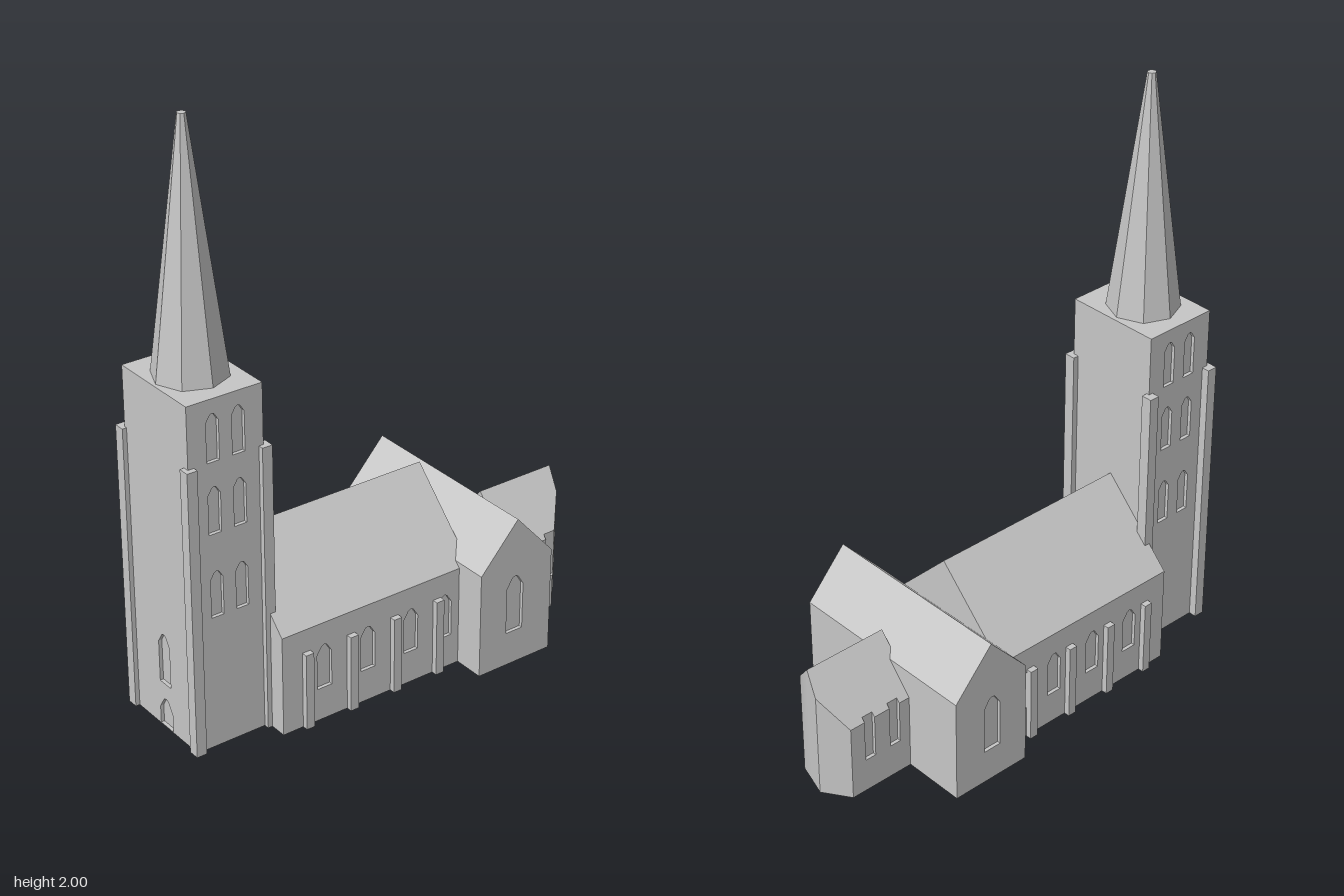
import * as THREE from 'three';

const stone = new THREE.MeshStandardMaterial({ color: 0xc6c6c6 });
stone.name = 'stone';

const D = 0.012; // depth of the window recesses

export function createModel() {
  const church = new THREE.Group();
  church.name = 'church';

  const add = (name, geometry, x = 0, y = 0, z = 0, turn = 0) => {
    const mesh = new THREE.Mesh(geometry, stone);
    mesh.name = name;
    mesh.position.set(x, y, z);
    mesh.rotation.y = turn;
    church.add(mesh);
    return mesh;
  };
  const box = (name, x0, x1, y0, y1, z0, z1) =>
    add(name, new THREE.BoxGeometry(x1 - x0, y1 - y0, z1 - z0), (x0 + x1) / 2, (y0 + y1) / 2, (z0 + z1) / 2);
  const shapeOf = (pts) => new THREE.Shape(pts.map(([x, y]) => new THREE.Vector2(x, y)));
  const extrude = (shape, depth) => new THREE.ExtrudeGeometry(shape, { depth, bevelEnabled: false });

  // Window opening with a narrow pointed head
  const opening = (x, y0, y1, w) => {
    const h = w / 2, s = y1 - w * 0.6;
    return shapeOf([[x - h, y0], [x - h, s], [x - h * 0.35, y1 - w * 0.08], [x, y1],
      [x + h * 0.35, y1 - w * 0.08], [x + h, s], [x + h, y0]]);
  };
  const wall = (outline, openings) => {
    const shape = shapeOf(outline);
    shape.holes.push(...openings.map((o) => opening(...o)));
    return extrude(shape, D);
  };
  const rect = (x0, x1, y1) => [[x0, 0], [x1, 0], [x1, y1], [x0, y1]];

  // Tower
  box('towerCore', -0.765 + D, -0.5, 0, 1.19, -0.18 + D, 0.162 - D);
  const towerWindows = [];
  for (const y of [0.46, 0.745, 0.985])
    for (const x of [-0.677, -0.587]) towerWindows.push([x, y, y + 0.158, 0.044]);
  const towerWall = wall(rect(-0.765, -0.5, 1.19), towerWindows);
  add('towerFrontWall', towerWall, 0, 0, 0.162 - D);
  add('towerBackWall', towerWall, 0, 0, -0.18);
  add('towerEntranceWall', wall(rect(-0.18 + D, 0.162 - D, 1.19),
    [[-0.01, 0.002, 0.105, 0.07], [-0.01, 0.16, 0.34, 0.06]]), -0.765 + D, 0, 0, -Math.PI / 2);
  for (const x of [-0.762, -0.498])
    for (const z of [-0.188, 0.161])
      box('towerButtress', x - 0.018, x + 0.018, 0, 0.985, z - 0.019, z + 0.019);

  // Octagonal spire
  const spire = new THREE.CylinderGeometry(0.014, 0.12, 0.81, 8).toNonIndexed();
  spire.computeVertexNormals();
  add('spire', spire, -0.635, 1.595, -0.011);

  // Nave: gabled core with the side walls laid on
  const naveZ = -0.02, naveW = 0.26;
  const inner = naveW - D;
  add('naveCore', extrude(shapeOf([[-inner, 0], [inner, 0], [inner, 0.35], [naveW, 0.35],
    [0, 0.61], [-naveW, 0.35], [-inner, 0.35]]), 0.73), -0.5, 0, naveZ, Math.PI / 2);
  const naveWall = wall(rect(-0.5, 0.23, 0.35),
    [-0.342, -0.174, -0.004, 0.132].map((x) => [x, 0.115, 0.272, 0.055]));
  add('naveFrontWall', naveWall, 0, 0, naveZ + inner);
  add('naveBackWall', naveWall, 0, 0, naveZ - naveW);
  for (const x of [-0.41, -0.24, -0.07, 0.1]) {
    box('naveButtress', x - 0.015, x + 0.015, 0, 0.27, 0.23, 0.26);
    box('naveButtress', x - 0.015, x + 0.015, 0, 0.27, -0.3, -0.27);
  }

  // Transept: gable ends carry one window each
  const gable = [[0.19, 0], [0.48, 0], [0.48, 0.37], [0.335, 0.53], [0.19, 0.37]];
  add('transeptCore', extrude(shapeOf(gable), 0.705 - 2 * D), 0, 0, -0.355 + D);
  const gableWall = wall(gable, [[0.331, 0.12, 0.325, 0.066]]);
  add('transeptFrontWall', gableWall, 0, 0, 0.35 - D);
  add('transeptBackWall', gableWall, 0, 0, -0.355);

  // Chancel core: angled end under a gable roof, smooth across the front facets
  const slope = 0.17 / 0.15;
  const roofY = (z) => 0.44 - slope * Math.abs(z - 0.015);
  const front = 0.165 - D, back = -0.135 + D;
  const A = [0.458, front], B = [0.666, front], C = [0.74, 0.075], R = [0.757, 0.015],
    E = [0.775, -0.045], F = [0.723, back], G = [0.458, back], H = [0.458, 0.015];
  const build = (name, pos, index) => {
    const g = new THREE.BufferGeometry();
    g.setAttribute('position', new THREE.Float32BufferAttribute(pos, 3));
    g.setIndex(index);
    g.computeVertexNormals();
    add(name, g);
  };
  const wallStrip = (pts) => {
    const pos = [], index = [];
    pts.forEach(([x, z], i) => {
      pos.push(x, 0, z, x, roofY(z), z);
      const a = 2 * i;
      if (i) index.push(a - 2, a, a + 1, a - 2, a + 1, a - 1);
    });
    build('chancelWall', pos, index);
  };
  const fan = (name, pts, height) => {
    const index = [];
    for (let i = 2; i < pts.length; i++) index.push(0, i - 1, i);
    build(name, pts.flatMap(([x, z]) => [x, height(z), z]), index);
  };
  [[A, B], [B, C, R, E], [E, F], [F, G], [G, H, A]].forEach(wallStrip);
  fan('chancelRoof', [A, B, C, R, H], roofY);
  fan('chancelRoof', [H, R, E, F, G], roofY);
  fan('chancelFloor', [A, G, F, E, C, B], () => 0);

  // Chancel side walls: tall windows break through the eaves, tops follow the roof
  const chancelWall = (name, outline, z, outerIsFront, innerEnd, outerEnd) => {
    const g = extrude(shapeOf(outline), D);
    const p = g.attributes.position;
    for (let i = 0; i < p.count; i++) {
      const outer = (p.getZ(i) > D / 2) === outerIsFront;
      if (!outer && p.getY(i) > 0.26) p.setY(i, 0.27 + slope * D);
      if (outer && p.getX(i) === Math.fround(innerEnd)) p.setX(i, outerEnd);
    }
    g.computeVertexNormals();
    add(name, g, 0, 0, z);
  };
  const start = [[0.56, 0.27], [0.56, 0.12], [0.52, 0.12], [0.52, 0.27], [0.458, 0.27], [0.458, 0]];
  chancelWall('chancelFrontWall',
    [[0.666, 0], [0.666, 0.12], [0.62, 0.12], [0.62, 0.27], ...start], front, true, 0.666, 0.655);
  chancelWall('chancelBackWall',
    [[0.723, 0], [0.723, 0.27], [0.66, 0.27], [0.66, 0.12], [0.62, 0.12], [0.62, 0.27], ...start],
    -0.135, false, 0.723, 0.715);

  return church;
}
